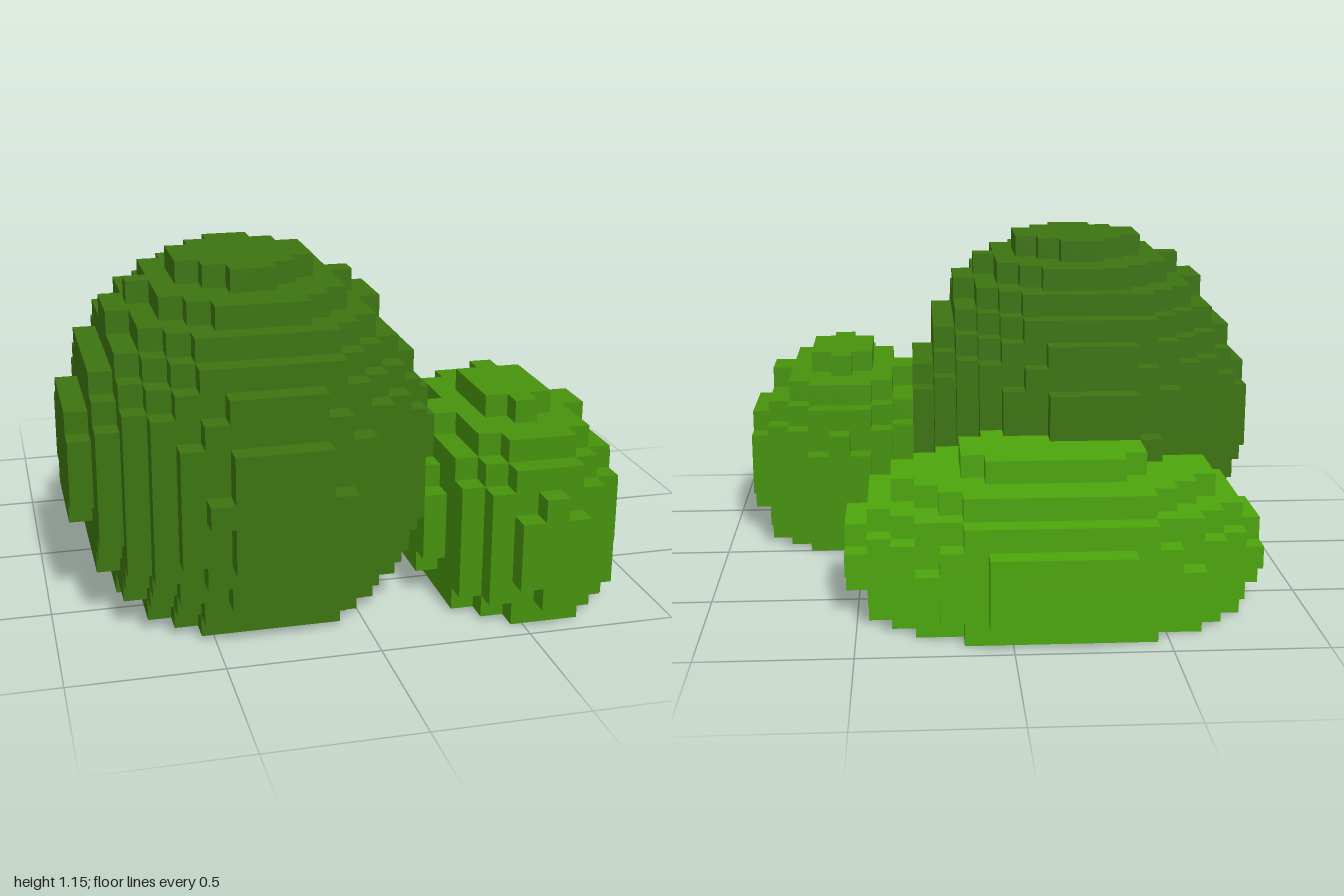
import * as THREE from 'three';

const CELL = 1 / 13; // edge length of one block

// Leafy mounds as block-built ellipsoids, in block units; earlier ones own shared blocks
const MOUNDS = [
  { name: 'backLeafMound', colorName: 'light green', color: 0x4ca60d, center: [-2, 2.5, -6.5], radius: [9, 4.5, 6.5] },
  { name: 'sideLeafMound', colorName: 'mid green', color: 0x46920d, center: [7.5, 3.5, 6], radius: [4.5, 5.5, 7] },
  { name: 'mainLeafMound', colorName: 'dark green', color: 0x3c7410, center: [-4, 6.5, 3.5], radius: [8, 8.5, 9.5] },
];

// Index of the mound that owns a block, or -1 for empty space (the ground cuts at y = 0)
function ownerOf(cell) {
  if (cell[1] < 0) return -1;
  return MOUNDS.findIndex(({ center, radius }) => {
    let sum = 0;
    for (let a = 0; a < 3; a++) sum += ((cell[a] + 0.5 - center[a]) / radius[a]) ** 2;
    return sum <= 1;
  });
}

// Exposed block faces of one mound
function moundGeometry(index) {
  const { center, radius } = MOUNDS[index];
  const lo = center.map((c, a) => Math.floor(c - radius[a]));
  const hi = center.map((c, a) => Math.ceil(c + radius[a]));
  const positions = [], normals = [], indices = [];

  const addFace = (cell, axis, sign) => {
    const u = (axis + 1) % 3, w = (axis + 2) % 3;
    const first = positions.length / 3;
    for (const [du, dw] of [[0, 0], [1, 0], [1, 1], [0, 1]]) {
      const p = [...cell];
      if (sign > 0) p[axis] += 1;
      p[u] += du;
      p[w] += dw;
      positions.push(...p.map((n) => n * CELL));
      const normal = [0, 0, 0];
      normal[axis] = sign;
      normals.push(...normal);
    }
    const order = sign > 0 ? [0, 1, 2, 0, 2, 3] : [0, 2, 1, 0, 3, 2];
    indices.push(...order.map((i) => first + i));
  };

  for (let x = lo[0]; x < hi[0]; x++)
    for (let y = 0; y < hi[1]; y++)
      for (let z = lo[2]; z < hi[2]; z++) {
        const cell = [x, y, z];
        if (ownerOf(cell) !== index) continue;
        for (let axis = 0; axis < 3; axis++)
          for (const sign of [-1, 1]) {
            const next = [...cell];
            next[axis] += sign;
            if (ownerOf(next) < 0) addFace(cell, axis, sign);
          }
      }

  const geometry = new THREE.BufferGeometry();
  geometry.setAttribute('position', new THREE.Float32BufferAttribute(positions, 3));
  geometry.setAttribute('normal', new THREE.Float32BufferAttribute(normals, 3));
  geometry.setIndex(indices);
  return geometry;
}

export function createModel() {
  const bush = new THREE.Group();
  bush.name = 'bush';
  MOUNDS.forEach(({ name, colorName, color }, i) => {
    const material = new THREE.MeshStandardMaterial({ color });
    material.name = colorName;
    const mesh = new THREE.Mesh(moundGeometry(i), material);
    mesh.name = name;
    bush.add(mesh);
  });
  return bush;
}
